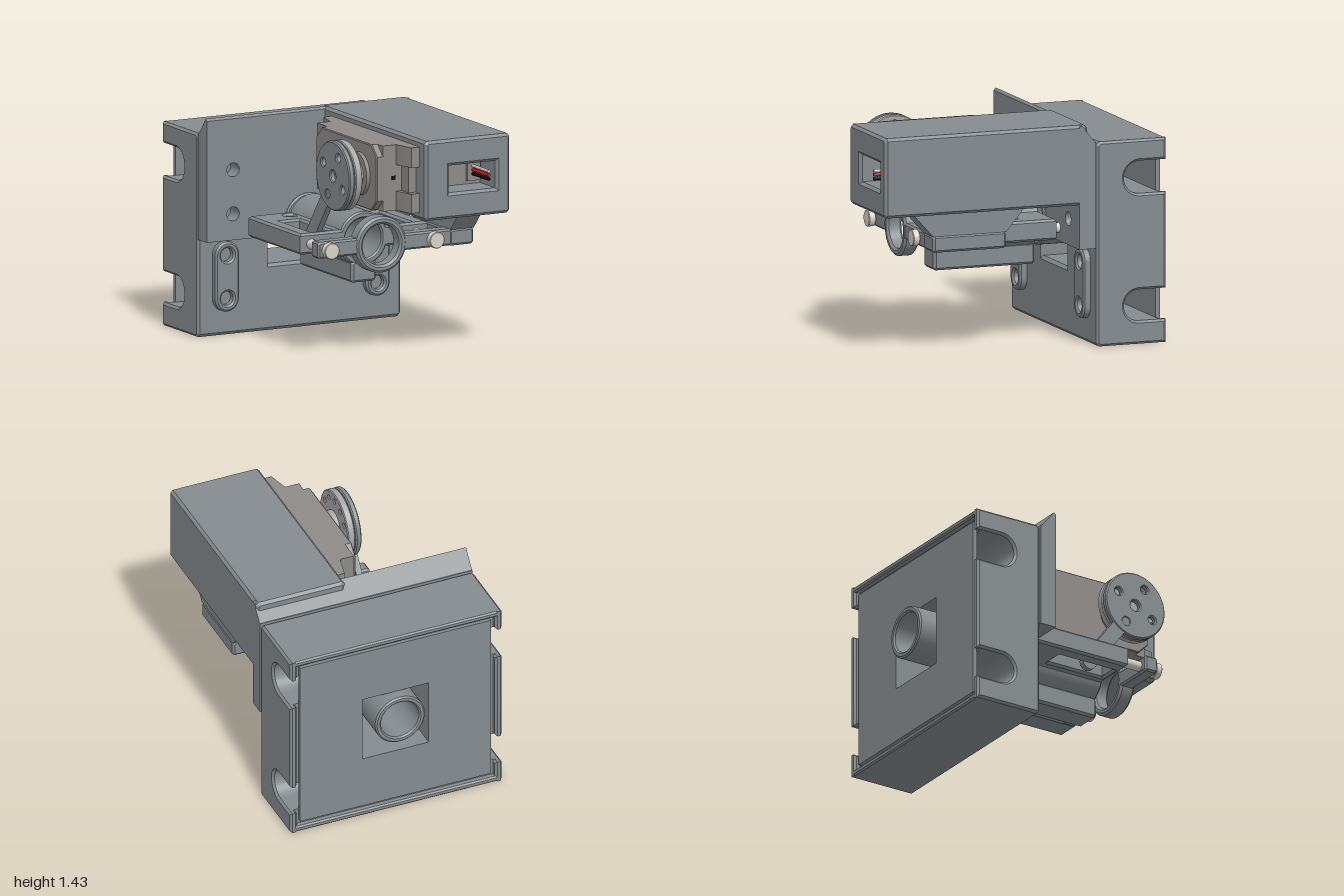
import * as THREE from 'three';
import { toCreasedNormals } from 'three/addons/utils/BufferGeometryUtils.js';

const mat = (color) => new THREE.MeshStandardMaterial({ color });
const M = {
  body: mat(0x858b8f), servo: mat(0x8d8a87), horn: mat(0xa6a6a6),
  steel: mat(0xd8d4c8), red: mat(0xd01818), black: mat(0x101010), grey: mat(0xcccccc),
};

// Shape helpers
const poly = (pts) => new THREE.Shape(pts.map(([a, b]) => new THREE.Vector2(a, b)));
const rect = (x0, y0, x1, y1, c = 0) => poly(c
  ? [[x0 + c, y0], [x1 - c, y0], [x1, y0 + c], [x1, y1 - c], [x1 - c, y1], [x0 + c, y1], [x0, y1 - c], [x0, y0 + c]]
  : [[x0, y0], [x1, y0], [x1, y1], [x0, y1]]);
const circle = (x, y, r) => new THREE.Shape().absarc(x, y, r, 0, Math.PI * 2);
const withHoles = (shape, ...holes) => { shape.holes.push(...holes); return shape; };

export function createModel() {
  const model = new THREE.Group();

  const add = (name, geometry, material = M.body) => {
    const mesh = new THREE.Mesh(geometry, material);
    mesh.name = name;
    model.add(mesh);
    return mesh;
  };
  const extrude = (shape, a, b, bevel) => new THREE.ExtrudeGeometry(shape, {
    depth: b - a - 2 * bevel, bevelEnabled: bevel > 0, bevelThickness: bevel,
    bevelSize: bevel, bevelOffset: -bevel, bevelSegments: 1, curveSegments: 24,
  }).translate(0, 0, a + bevel);
  const finish = (g) => toCreasedNormals(g, 0.5);
  // Shape axes: alongZ (x, y), alongX (-z, y), alongY (x, -z)
  const alongZ = (name, s, a, b, bevel = 0, m) => add(name, finish(extrude(s, a, b, bevel)), m);
  const alongX = (name, s, a, b, bevel = 0, m) => add(name, finish(extrude(s, a, b, bevel).rotateY(Math.PI / 2)), m);
  const alongY = (name, s, a, b, bevel = 0, m) => add(name, finish(extrude(s, a, b, bevel).rotateX(-Math.PI / 2)), m);
  const box = (name, x0, x1, y0, y1, z0, z1, bevel = 0, m) => alongZ(name, rect(x0, y0, x1, y1, bevel), z0, z1, bevel, m);

  // Base block: side profile with two strap slots open to the back
  const profile = (y0, y1, back, slots) => {
    const s = new THREE.Shape();
    const c = 0.02;
    s.moveTo(0.46 + c, y0);
    s.lineTo(back, y0);
    for (const [a, b] of slots) {
      const r = (b - a) / 2;
      s.lineTo(back, a);
      s.lineTo(0.65 + r, a);
      s.absarc(0.65 + r, a + r, r, -Math.PI / 2, -Math.PI * 1.5, true);
      s.lineTo(back, b);
    }
    s.lineTo(back, y1);
    s.lineTo(0.46 + c, y1);
    s.lineTo(0.46, y1 - c);
    s.lineTo(0.46, y0 + c);
    return s;
  };
  const low = [0.15, 0.35], high = [0.97, 1.18];
  for (const s of [-1, 1]) {
    const span = (a, b) => (s > 0 ? [a, b] : [-b, -a]);
    alongX('baseHalf', profile(0, 1.32, 0.895, [low, high]), ...span(0.23, 0.7));
    alongX('baseSideRim', profile(0, 1.32, 0.935, [low, high]), ...span(0.685, 0.735), 0.015);
  }
  alongX('baseCentreLower', profile(0, 0.43, 0.895, [low]), -0.23, 0.23);
  alongX('baseCentreUpper', profile(0.89, 1.32, 0.895, [high]), -0.23, 0.23);
  box('baseTopRim', -0.72, 0.72, 1.28, 1.32, -0.935, -0.8, 0.01);
  box('baseBottomRim', -0.72, 0.72, 0, 0.04, -0.935, -0.8, 0.01);
  alongZ('backPanel', withHoles(rect(-0.66, 0.065, 0.66, 1.255), rect(-0.23, 0.43, 0.23, 0.89)), -0.92, -0.89);

  // Rounded bolt pads
  for (const x of [-0.545, 0.545]) {
    const pad = new THREE.Shape();
    pad.absarc(x, 0.525, 0.086, 0, Math.PI);
    pad.absarc(x, 0.245, 0.086, Math.PI, Math.PI * 2);
    withHoles(pad, circle(x, 0.525, 0.045), circle(x, 0.245, 0.045));
    alongZ('boltPad', pad, -0.47, -0.41, 0.012);
  }

  // Mounting plate, notched round the nozzle tube
  const plate = new THREE.Shape();
  plate.moveTo(-0.735, 0.635);
  plate.lineTo(-0.135, 0.635);
  const a0 = Math.atan2(-0.085, 0.135);
  plate.absarc(0, 0.72, 0.16, Math.PI - a0, a0, true);
  plate.lineTo(0.735, 0.635);
  plate.lineTo(0.735, 1.32);
  plate.lineTo(-0.735, 1.32);
  withHoles(plate, circle(-0.545, 0.805, 0.045), circle(-0.545, 1.09, 0.045), circle(0.545, 0.805, 0.045));
  alongZ('mountingPlate', plate, -0.455, -0.34);
  alongX('plateTopChamfer', poly([[0.34, 1.32], [0.45, 1.32], [0.355, 1.435], [0.34, 1.42]]), -0.735, 0.735);

  // Servo housing with a bevelled window
  alongZ('servoHousing', withHoles(rect(0.12, 0.92, 0.735, 1.435, 0.018), rect(0.297, 1.088, 0.633, 1.263)), -0.4, 0.985, 0.018);

  // Servo body, cap and mounting tabs
  box('servoBody', -0.07, 0.65, 0.965, 1.39, -0.1, 0.77, 0, M.servo);
  alongX('servoCap', rect(-0.77, 0.965, 0.03, 1.39, 0.07), -0.115, -0.06, 0.006, M.servo);
  box('servoNotch', -0.02, 0.05, 1.165, 1.19, 0.765, 0.775, 0, M.black).scale.x = 0.4;
  for (const [y0, y1] of [[0.965, 1.09], [1.26, 1.39]]) {
    alongY('servoTab', poly([[0.06, 0.25], [0.16, 0.25], [0.16, -0.91], [0.06, -0.91], [0.025, -0.765], [0.025, 0.1]]), y0, y1, 0, M.servo);
  }
  box('servoTabWeb', 0.065, 0.15, 1.08, 1.27, -0.2, 0.86, 0, M.servo);
  box('cableBlock', 0.53, 0.625, 1.11, 1.25, 0.75, 0.79, 0, M.servo);
  [[1.205, M.grey], [1.18, M.red], [1.155, M.black]].forEach(([y, m]) => {
    alongZ('wire', circle(0.572, y, 0.011), 0.78, 1.0, 0, m);
  });

  // Servo horn and drive wheel, centred on z 0.545, y 1.18
  const wz = 0.545, wy = 1.18;
  const wheel = (r, n, hr, holeR) => {
    const s = circle(-wz, wy, r);
    for (let i = 0; i < n; i++) {
      const t = (i / n) * Math.PI * 2 + 0.5;
      s.holes.push(circle(-wz + Math.cos(t) * hr, wy + Math.sin(t) * hr, holeR));
    }
    return s;
  };
  alongX('driveWheel', withHoles(wheel(0.225, 4, 0.145, 0.025), circle(-wz, wy, 0.035)), -0.31, -0.27, 0.008);
  alongX('hornDisc', wheel(0.225, 12, 0.175, 0.014), -0.265, -0.215, 0.006, M.horn);
  alongX('hornHub', circle(-wz, wy, 0.095), -0.27, -0.13, 0, M.horn);
  alongX('hornCollar', circle(-wz, wy, 0.14), -0.14, -0.11, 0, M.servo);

  // Link from the wheel down into the carriage slot
  const link = new THREE.Shape();
  link.absarc(-0.2, 0.7, 0.05, Math.PI * 0.8, Math.PI * 1.8);
  link.lineTo(-0.46, 1.04);
  link.lineTo(-0.54, 1.1);
  link.closePath();
  // keep the link a constant-width bar
  const d = new THREE.Vector2(-0.32, 0.43).normalize(), n = [d.y * 0.05, -d.x * 0.05];
  const bar = poly([[-0.2 + n[0], 0.7 + n[1]], [-0.52 + n[0], 1.13 + n[1]], [-0.52 - n[0], 1.13 - n[1]], [-0.2 - n[0], 0.7 - n[1]]]);
  alongX('linkBar', bar, -0.305, -0.265);
  alongX('linkEnd', circle(-0.2, 0.7, 0.05), -0.305, -0.265);

  // Nozzle tube, sliding carriage and front ring share one bore
  const ring = (r) => withHoles(circle(0, 0.72, r), circle(0, 0.72, 0.132));
  alongZ('nozzleTube', ring(0.172), -1.0, -0.325, 0.01);
  alongZ('carriageSleeve', ring(0.175), -0.295, 0.39, 0.01);
  alongZ('frontRing', ring(0.182), 0.525, 0.63, 0.015);
  box('carriageKeel', -0.09, 0.09, 0.44, 0.58, -0.295, 0.395, 0.015);
  for (const s of [-1, 1]) {
    const xs = (a, b) => (s > 0 ? [a, b] : [-b, -a]);
    const [w0, w1] = xs(0.14, 0.46), [h0, h1] = xs(0.22, 0.355);
    const wing = withHoles(rect(w0, -0.39, w1, 0.295), rect(h0, -0.35, h1, 0.06), circle(s * 0.2, 0.2, 0.045));
    alongY('carriageWing', wing, 0.655, 0.79, 0.015);
    // Guide rods with heads
    alongZ('guideRod', circle(s * 0.38, 0.72, 0.033), -0.4, 0.64, 0, M.steel);
    alongZ('rodHead', circle(s * 0.38, 0.72, 0.053), 0.625, 0.67, 0.004, M.steel);
  }

  // Front bracket arms and the hanger under the housing
  box('bracketArmRight', -0.455, -0.15, 0.668, 0.775, 0.525, 0.62, 0.012);
  box('bracketArmLeft', 0.15, 0.66, 0.668, 0.775, 0.525, 0.625, 0.012);
  box('hangerFoot', 0.49, 0.667, 0.665, 0.775, 0.13, 0.63, 0.015);
  alongX('hanger', poly([[-0.77, 0.925], [-0.63, 0.77], [-0.13, 0.77], [0, 0.925]]), 0.495, 0.665);

  return model;
}
